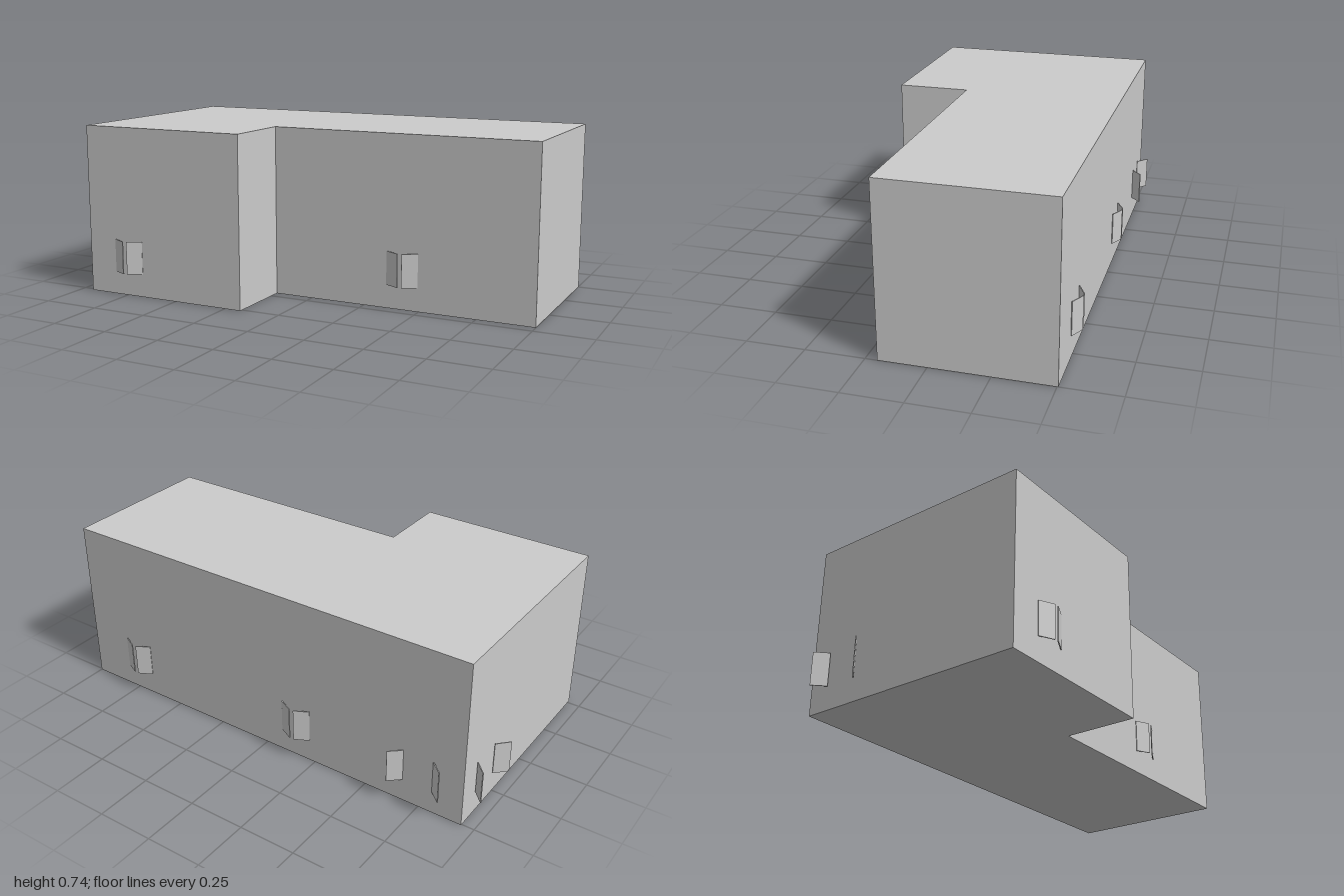
import * as THREE from 'three';

const material = new THREE.MeshStandardMaterial({ color: 0xcccccc, flatShading: true });

// Thin upright panel running between two plan points (x, z)
function shutter(name, [x1, z1], [x2, z2], top = 0.247) {
  const bottom = 0.102, dx = x2 - x1, dz = z2 - z1;
  const mesh = new THREE.Mesh(
    new THREE.BoxGeometry(Math.hypot(dx, dz), top - bottom, 0.004), material);
  mesh.position.set((x1 + x2) / 2, (top + bottom) / 2, (z1 + z2) / 2);
  mesh.rotation.y = -Math.atan2(dz, dx);
  mesh.name = name;
  return mesh;
}

export function createModel() {
  const model = new THREE.Group();
  model.name = 'building';

  // L-shaped block, drawn in plan and raised
  const plan = [[-0.945, 0.515], [-0.175, 0.515], [-0.175, 0.2], [1, 0.2], [1, -0.505], [-0.945, -0.505]];
  const shape = new THREE.Shape(plan.map(([x, z]) => new THREE.Vector2(x, -z)));
  const geometry = new THREE.ExtrudeGeometry(shape, { depth: 0.743, bevelEnabled: false });
  geometry.rotateX(-Math.PI / 2);
  const block = new THREE.Mesh(geometry, material);
  block.name = 'mainBlock';
  model.add(block);

  // Half-open shutter pairs: centre x, wall z, outward direction
  const pairs = [
    ['frontWing', -0.737, 0.515, 1],
    ['frontMain', 0.425, 0.2, 1],
    ['backMiddle', -0.155, -0.505, -1],
    ['backLeft', 0.727, -0.505, -1],
  ];
  for (const [name, x, z, out] of pairs) {
    const group = new THREE.Group();
    group.name = name + 'Shutters';
    for (const side of [-1, 1]) {
      group.add(shutter(side < 0 ? 'rightShutter' : 'leftShutter',
        [x + side * 0.07, z + out * 0.002], [x + side * 0.009, z + out * 0.033]));
    }
    model.add(group);
  }

  // Wide-open shutters on the back corner and the side wall
  const corner = new THREE.Group();
  corner.name = 'cornerShutters';
  corner.add(
    shutter('backShutterRight', [-0.81, -0.505], [-0.86, -0.549]),
    shutter('backShutterLeft', [-0.675, -0.505], [-0.625, -0.549]),
    shutter('sideShutterBack', [-0.95, -0.408], [-0.998, -0.457]),
    shutter('sideShutterFront', [-0.95, -0.267], [-0.998, -0.217]),
  );
  model.add(corner);
  return model;
}
